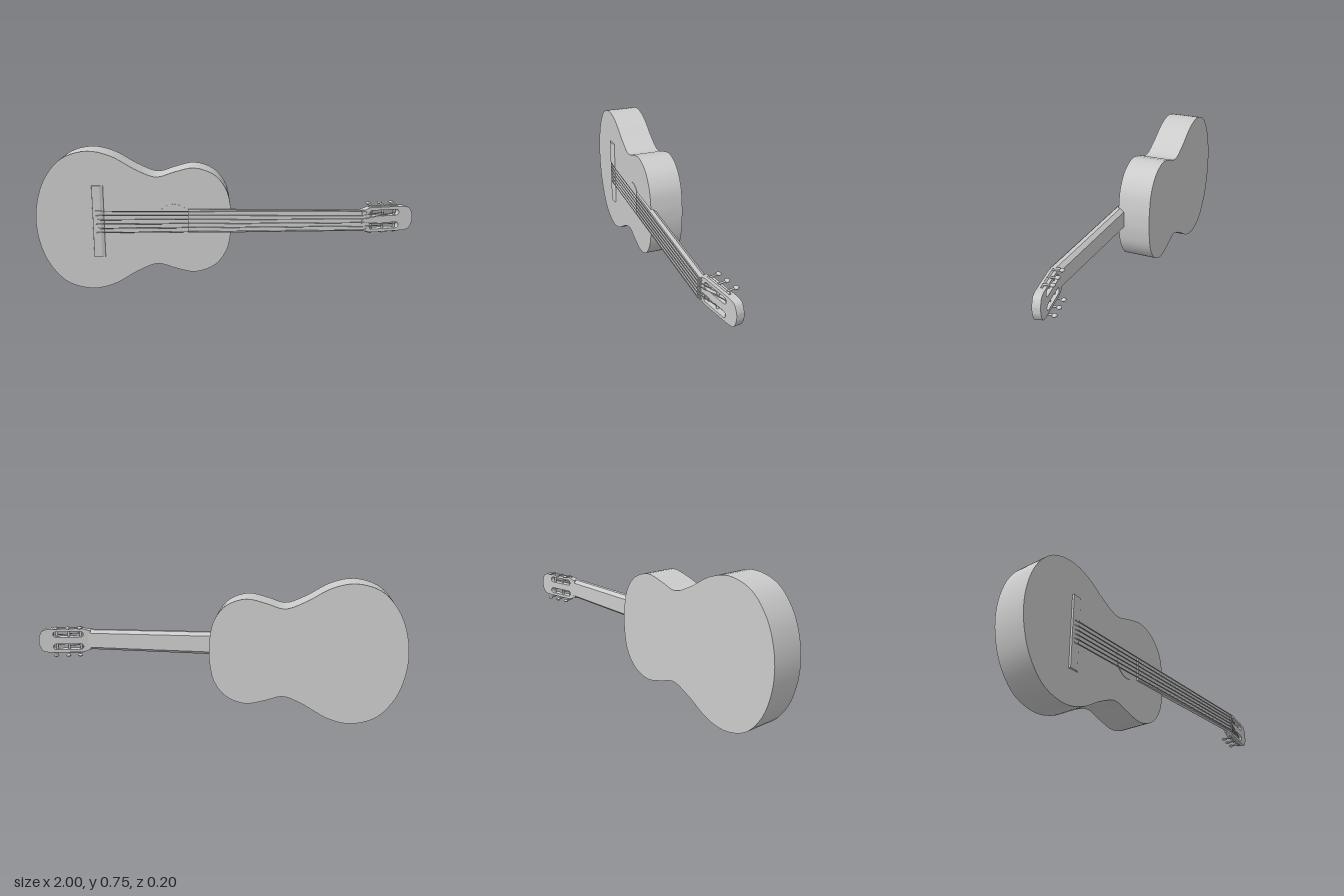
import * as THREE from 'three';
import { toCreasedNormals } from 'three/addons/utils/BufferGeometryUtils.js';

const CY = 0.373; // height of the long axis
const TILT = 0.19; // backward lean of the headstock
const material = new THREE.MeshStandardMaterial({ color: 0xcccccc });
const V = (x, y, z) => new THREE.Vector3(x, y, z);

function add(parent, name, geometry) {
  const mesh = new THREE.Mesh(geometry, material);
  mesh.name = name;
  parent.add(mesh);
  return mesh;
}

// Round bar between two points
function rod(parent, name, a, b, radius, sides = 8) {
  const dir = b.clone().sub(a);
  const mesh = add(parent, name, new THREE.CylinderGeometry(radius, radius, dir.length(), sides));
  mesh.position.copy(a).add(b).multiplyScalar(0.5);
  mesh.quaternion.setFromUnitVectors(V(0, 1, 0), dir.normalize());
  return mesh;
}

// Mirrored outline from the upper half, given as [x, half height]
function mirroredCurve(half) {
  const upper = half.map(([x, y]) => V(x, y, 0));
  const lower = half.filter(([, y]) => y > 0).reverse().map(([x, y]) => V(x, -y, 0));
  return new THREE.CatmullRomCurve3([...upper, ...lower], true, 'centripetal');
}

// Solid skin over equal cross-sections, each a counter-clockwise ring seen from +x
function loft(rings) {
  const n = rings[0].length;
  const index = [];
  for (let i = 0; i < rings.length - 1; i++) {
    for (let j = 0; j < n; j++) {
      const a = i * n + j, b = i * n + (j + 1) % n;
      index.push(a, b, b + n, a, b + n, a + n);
    }
  }
  const last = (rings.length - 1) * n;
  for (let j = 1; j < n - 1; j++) {
    index.push(0, j + 1, j, last, last + j, last + j + 1);
  }
  const geometry = new THREE.BufferGeometry().setFromPoints(rings.flat());
  geometry.setIndex(index);
  return toCreasedNormals(geometry, 0.5);
}

function makeBody(parent) {
  const outline = mirroredCurve([
    [-1, 0], [-0.985, 0.12], [-0.94, 0.235], [-0.85, 0.335], [-0.72, 0.373], [-0.6, 0.348],
    [-0.47, 0.275], [-0.365, 0.236], [-0.27, 0.262], [-0.165, 0.283], [-0.06, 0.245],
    [0.002, 0.165], [0.024, 0.07], [0.028, 0],
  ]).getPoints(110);
  const shape = new THREE.Shape(outline.slice(0, -1).map((p) => new THREE.Vector2(p.x, p.y)));
  const geometry = new THREE.ExtrudeGeometry(shape, { depth: 0.178, bevelEnabled: false });
  add(parent, 'body', toCreasedNormals(geometry, 0.6)).position.set(0, CY, -0.101);

  // Sound hole disc lying just proud of the top
  const hole = add(parent, 'soundHole', new THREE.CylinderGeometry(0.088, 0.088, 0.004, 40));
  hole.rotation.x = Math.PI / 2;
  hole.position.set(-0.275, CY + 0.003, 0.077);

  // Bridge: steep at the tail, sloping down toward the neck
  const profile = new THREE.Shape([
    new THREE.Vector2(-0.703, 0.074), new THREE.Vector2(-0.64, 0.074),
    new THREE.Vector2(-0.645, 0.081), new THREE.Vector2(-0.66, 0.087),
    new THREE.Vector2(-0.7, 0.087),
  ]);
  const bridge = new THREE.ExtrudeGeometry(profile, { depth: 0.386, bevelEnabled: false });
  bridge.rotateX(Math.PI / 2).scale(1, 1, 1);
  // After the turn the profile height points to +z and the length to -y
  add(parent, 'bridge', bridge).position.set(0, CY + 0.193, 0);
}

function makeNeck(parent) {
  const ring = (x, half, back, front) => [
    [half, front], [half, front - 0.022], [half * 0.72, back],
    [-half * 0.72, back], [-half, front - 0.022], [-half, front],
  ].map(([y, z]) => V(x, CY + y, z)).reverse();
  add(parent, 'neck', loft([
    ring(-0.2, 0.064, 0.044, 0.088), ring(0.7, 0.056, 0.052, 0.095), ring(0.74, 0.058, 0.05, 0.093),
  ]));
  const nut = add(parent, 'nut', new THREE.BoxGeometry(0.012, 0.112, 0.012));
  nut.position.set(0.724, CY, 0.093);
}

function makeHead(parent) {
  const head = new THREE.Group();
  head.name = 'headstock';
  head.position.set(0.715, CY, 0.053);
  head.rotation.y = TILT;
  parent.add(head);

  // Plate with rounded tip and two long slots
  const s = new THREE.Shape();
  s.moveTo(0, -0.056);
  s.bezierCurveTo(0.025, -0.057, 0.03, -0.068, 0.055, -0.068);
  s.lineTo(0.225, -0.066);
  s.quadraticCurveTo(0.262, -0.064, 0.27, -0.05);
  s.quadraticCurveTo(0.3, 0, 0.27, 0.05);
  s.quadraticCurveTo(0.262, 0.064, 0.225, 0.066);
  s.lineTo(0.055, 0.068);
  s.bezierCurveTo(0.03, 0.068, 0.025, 0.057, 0, 0.056);
  const r = 0.016;
  for (const y of [-0.035, 0.035]) {
    const slot = new THREE.Path();
    slot.absarc(0.055, y, r, Math.PI / 2, Math.PI * 1.5);
    slot.absarc(0.19, y, r, -Math.PI / 2, Math.PI / 2);
    s.holes.push(slot);
  }
  const plate = new THREE.ExtrudeGeometry(s, { depth: 0.04, bevelEnabled: false, curveSegments: 10 });
  add(head, 'headPlate', toCreasedNormals(plate, 0.6));

  // Tuners: roller across the slot, side shaft and a button turned to the back
  for (const side of [-1, 1]) {
    rod(head, 'tunerPlate', V(0.04, side * 0.069, 0.02), V(0.205, side * 0.069, 0.02), 0.005);
    for (const x of [0.055, 0.121, 0.187]) {
      rod(head, 'tunerRoller', V(x, side * 0.015, 0.02), V(x, side * 0.055, 0.02), 0.007, 10);
      rod(head, 'tunerShaft', V(x, side * 0.074, 0.022), V(x, side * 0.076, -0.025), 0.005);
      const button = add(head, 'tunerButton', new THREE.SphereGeometry(1, 12, 8));
      button.scale.set(0.014, 0.008, 0.013);
      button.position.set(x, side * 0.077, -0.025);
    }
  }
}

function makeStrings(parent) {
  const strings = new THREE.Group();
  strings.name = 'strings';
  parent.add(strings);
  for (let i = 0; i < 6; i++) {
    const k = (i - 2.5) / 2.5;
    const side = Math.sign(k);
    // The outer strings go to the nearest roller
    const u = [0.055, 0.121, 0.187][Math.round((1 - Math.abs(k)) * 2.5)];
    const path = [
      V(-0.695, CY + k * 0.058, 0.084),
      V(-0.65, CY + k * 0.058, 0.091),
      V(0.724, CY + k * 0.05, 0.1),
      V(0.715 + u * Math.cos(TILT) + 0.005, CY + side * (0.028 + 0.012 * Math.abs(k)), 0.08 - u * Math.sin(TILT)),
    ];
    for (let j = 0; j < 3; j++) rod(strings, 'string', path[j], path[j + 1], 0.0026, 6);
  }
}

export function createModel() {
  const guitar = new THREE.Group();
  guitar.name = 'guitar';
  makeBody(guitar);
  makeNeck(guitar);
  makeHead(guitar);
  makeStrings(guitar);
  return guitar;
}
